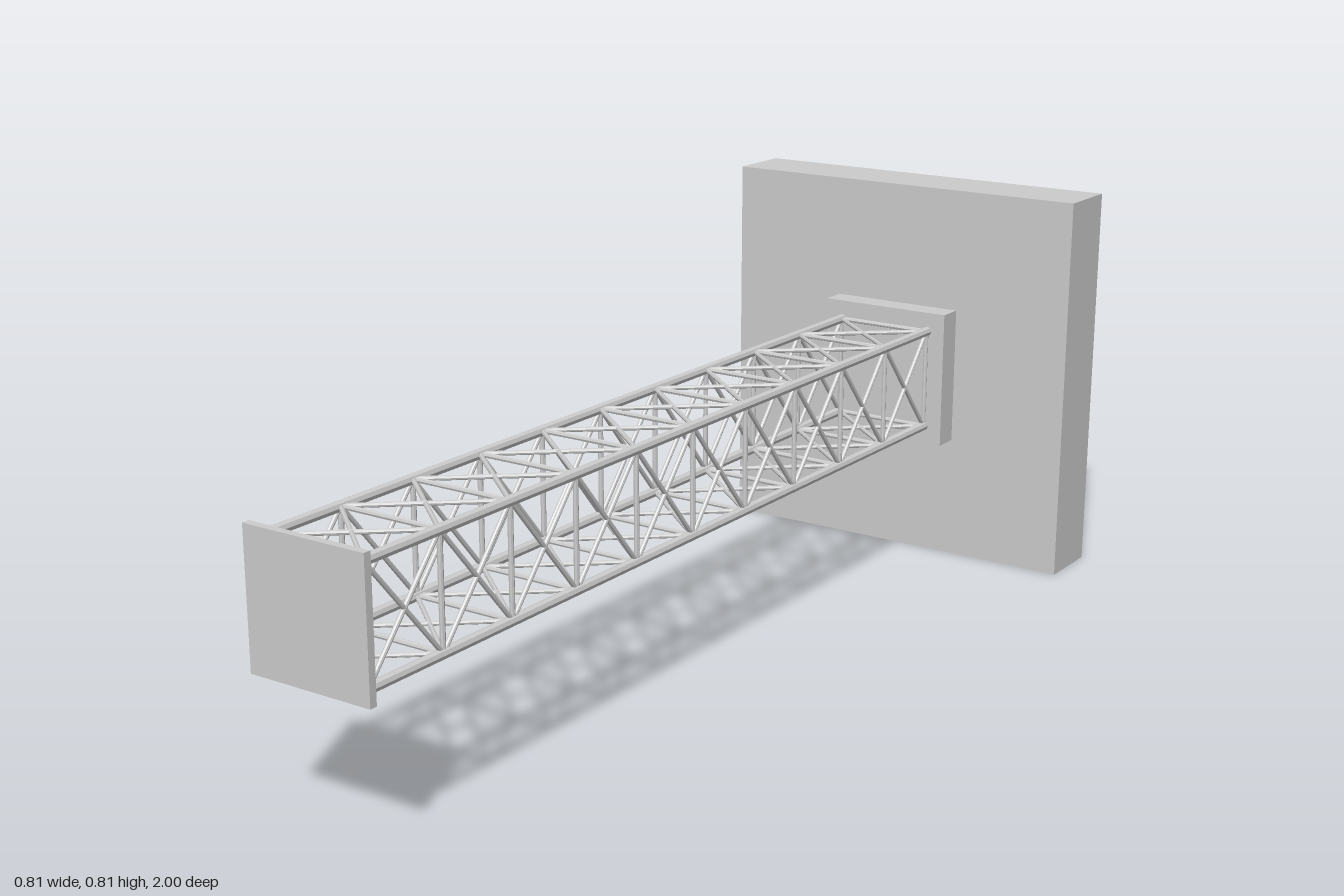
import * as THREE from 'three';

const material = new THREE.MeshStandardMaterial({ color: 0xcccccc, flatShading: true });
const MID = 0.404;               // height of the beam axis
const HALF = 0.105;              // chord offset from the axis
const Z0 = -0.806, Z1 = 0.985;   // ends of the lattice
const BAYS = 10;

// Square slab centred on the beam axis, spanning two depths
function slab(name, size, zBack, zFront) {
  const mesh = new THREE.Mesh(new THREE.BoxGeometry(size, size, zFront - zBack), material);
  mesh.position.set(0, MID, (zBack + zFront) / 2);
  mesh.name = name;
  return mesh;
}

// Round bar between two points
function bar(name, a, b, radius) {
  const dir = b.clone().sub(a);
  const mesh = new THREE.Mesh(new THREE.CylinderGeometry(radius, radius, dir.length(), 8), material);
  mesh.position.copy(a).add(b).multiplyScalar(0.5);
  mesh.quaternion.setFromUnitVectors(new THREE.Vector3(0, 1, 0), dir.normalize());
  mesh.name = name;
  return mesh;
}

export function createModel() {
  const model = new THREE.Group();
  model.name = 'wallMountedTruss';

  model.add(
    slab('wallBlock', 0.808, -1, -0.86),
    slab('mountingPad', 0.29, -0.86, -0.806),
    slab('endPlate', 0.254, 0.985, 1)
  );

  // Corners in order around the square section
  const corners = [[1, 1], [-1, 1], [-1, -1], [1, -1]];
  const node = (corner, z) => {
    const [sx, sy] = corners[corner % 4];
    return new THREE.Vector3(sx * HALF, MID + sy * HALF, z);
  };

  const truss = new THREE.Group();
  truss.name = 'truss';
  const first = Z0 + 0.004, step = (Z1 - 0.006 - first) / BAYS;

  for (let side = 0; side < 4; side++) {
    // Main chord along each corner
    truss.add(bar('chord', node(side, Z0), node(side, Z1), 0.01));

    // Cross struts and X bracing on each face
    for (let i = 0; i <= BAYS; i++) {
      const z = first + i * step;
      truss.add(bar('strut', node(side, z), node(side + 1, z), 0.005));
      if (i === BAYS) continue;
      truss.add(bar('brace', node(side, z), node(side + 1, z + step), 0.0045));
      truss.add(bar('brace', node(side + 1, z), node(side, z + step), 0.0045));
    }
  }
  model.add(truss);
  return model;
}
